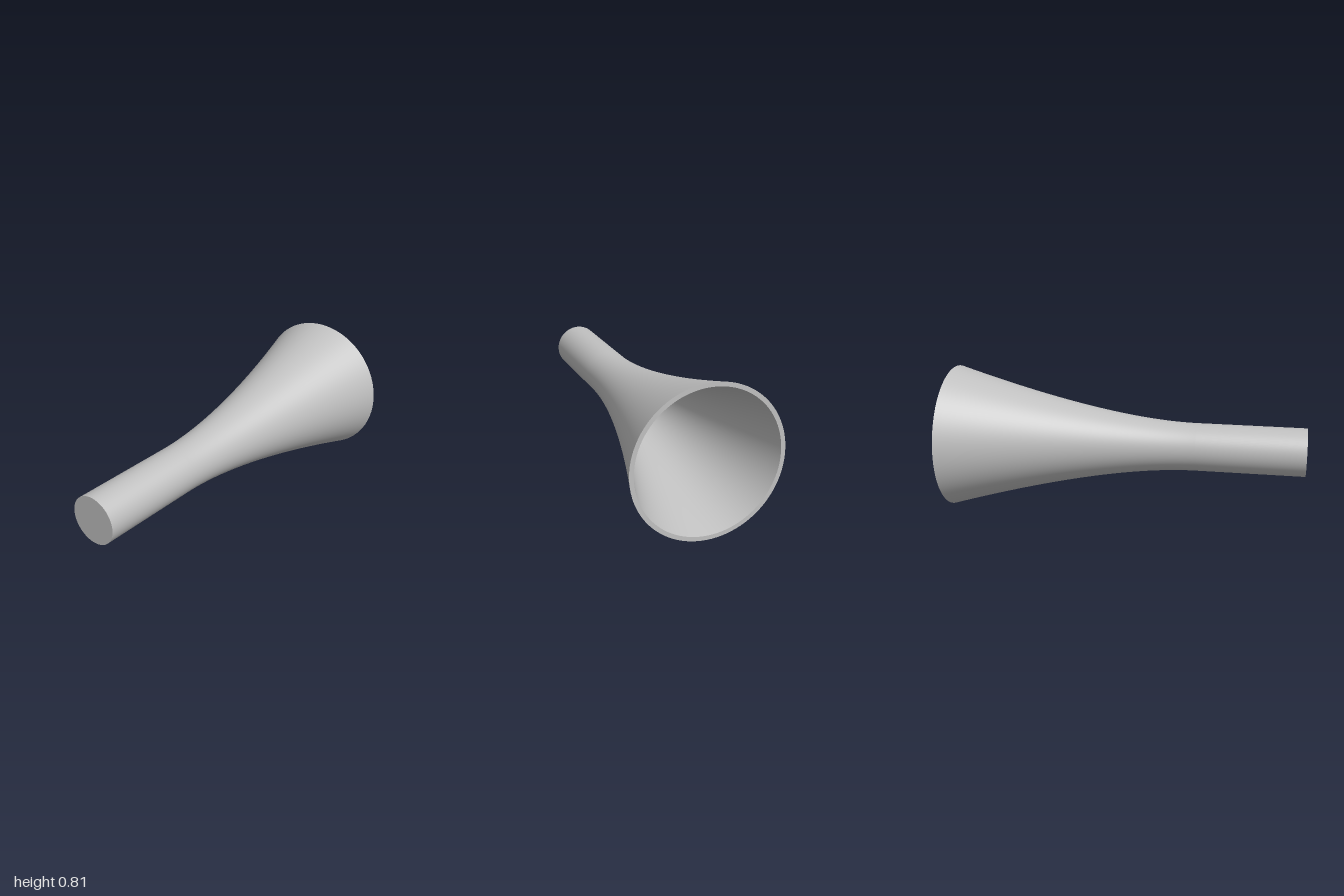
import * as THREE from 'three';

const PIPE = 0.133, MOUTH = 0.403, WALL = 0.023, SEGMENTS = 96;

// Horn profile from the wide mouth (-1) to the front end, as (radius, z)
function hornProfile(inset, frontZ) {
  const flare = new THREE.QuadraticBezierCurve(
    new THREE.Vector2(MOUTH - inset, -1),
    new THREE.Vector2(PIPE - inset, -0.1),
    new THREE.Vector2(PIPE - inset, 0.4)
  );
  return [...flare.getPoints(40), new THREE.Vector2(PIPE - inset, frontZ)];
}

export function createModel() {
  const group = new THREE.Group();
  group.name = 'horn';
  const grey = new THREE.MeshStandardMaterial({ color: 0xc0c0c0 });
  grey.name = 'light grey';

  // Each surface turns about the z axis; separate meshes keep the edges crisp
  const addTurned = (name, points) => {
    const geometry = new THREE.LatheGeometry(points, SEGMENTS);
    geometry.rotateX(Math.PI / 2);
    const mesh = new THREE.Mesh(geometry, grey);
    mesh.name = name;
    mesh.position.y = MOUTH;
    group.add(mesh);
  };
  const p = (r, z) => new THREE.Vector2(r, z);
  const innerEnd = 1 - WALL;

  addTurned('outerWall', hornProfile(0, 1));
  addTurned('innerWall', hornProfile(WALL, innerEnd).reverse());
  addTurned('mouthRim', [p(MOUTH - WALL, -1), p(MOUTH, -1)]);
  addTurned('frontCap', [p(PIPE, 1), p(0, 1)]);
  addTurned('boreEnd', [p(0, innerEnd), p(PIPE - WALL, innerEnd)]);

  return group;
}
